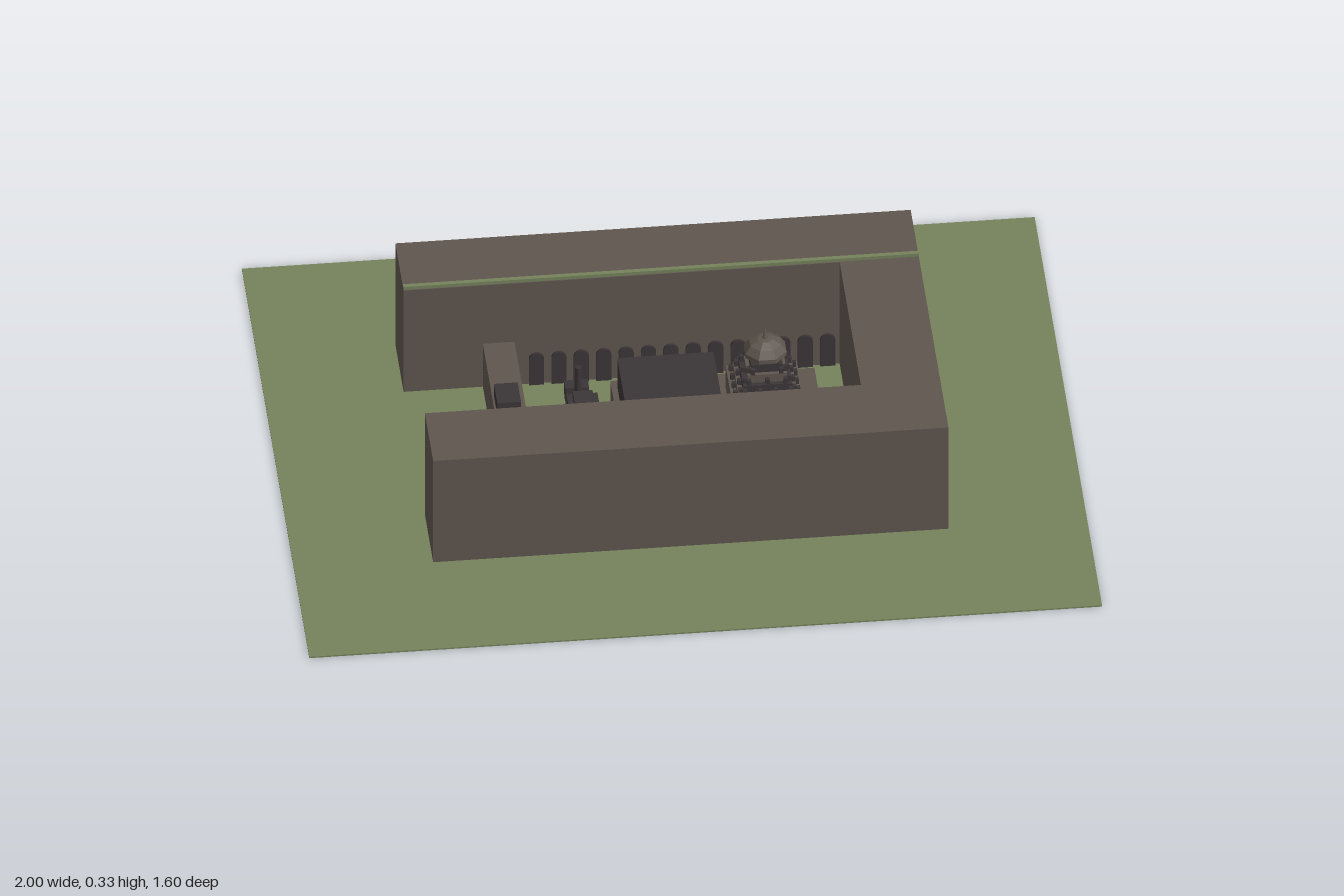
import * as THREE from 'three';

export function createModel() {
  const model = new THREE.Group();
  model.name = 'rockCutTemple';
  const mat = (name, color) => {
    const m = new THREE.MeshStandardMaterial({ color });
    m.name = name;
    return m;
  };
  const grass = mat('grass', 0x74825b);
  const rock = mat('rock', 0x5f564e);
  const dark = mat('darkStone', 0x3b3537);

  const add = (name, geo, m, x, y, z, parent = model) => {
    const mesh = new THREE.Mesh(geo, m);
    mesh.name = name;
    mesh.position.set(x, y, z);
    parent.add(mesh);
    return mesh;
  };
  // Box given by its ranges along each axis
  const box = (name, m, x0, x1, y0, y1, z0, z1, parent = model) =>
    add(name, new THREE.BoxGeometry(x1 - x0, y1 - y0, z1 - z0), m,
      (x0 + x1) / 2, (y0 + y1) / 2, (z0 + z1) / 2, parent);
  const flat = (geo) => {
    const g = geo.toNonIndexed();
    g.computeVertexNormals();
    return g;
  };
  const group = (name) => {
    const g = new THREE.Group();
    g.name = name;
    model.add(g);
    return g;
  };

  // Ground and the cliff walls around the court
  box('ground', grass, -1, 1, 0, 0.004, -0.8, 0.8);
  const H = 0.325;
  box('frontCliff', rock, -0.65, 0.65, 0.004, H, 0.25, 0.447);
  box('backCliff', rock, -0.65, 0.65, 0.004, H, -0.45, -0.255);
  box('endCliff', rock, 0.45, 0.65, 0.004, H, -0.255, 0.25);
  box('grassRim', grass, -0.65, 0.65, H, 0.334, -0.27, -0.258);

  // Gateway across the open end
  box('gateway', rock, -0.45, -0.37, 0.004, 0.14, -0.255, 0.25);
  box('gateUpperStorey', dark, -0.445, -0.385, 0.14, 0.178, -0.04, 0.04);
  box('gateDoor', dark, -0.458, -0.45, 0.004, 0.09, -0.025, 0.025);

  // Arched niches along both long walls
  const arch = new THREE.Shape();
  arch.moveTo(-0.019, 0);
  arch.lineTo(0.019, 0);
  arch.lineTo(0.019, 0.08);
  arch.absarc(0, 0.08, 0.019, 0, Math.PI, false);
  arch.lineTo(-0.019, 0);
  const archGeo = new THREE.ExtrudeGeometry(arch, { depth: 0.007, bevelEnabled: false, curveSegments: 8 });
  const niches = group('galleryNiches');
  for (let i = 0; i < 14; i++) {
    const x = -0.315 + i * 0.0565;
    add('frontNiche', archGeo, dark, x, 0.004, 0.243, niches);
    add('backNiche', archGeo, dark, x, 0.004, -0.255, niches);
  }

  // Temple plinth with a carved row along each side
  const P = 0.08;
  box('plinth', rock, -0.14, 0.375, 0.004, P, -0.147, 0.147);
  const frieze = group('plinthFrieze');
  for (let i = 0; i < 15; i++) {
    const x = -0.118 + i * 0.0335;
    for (const s of [-1, 1]) {
      add('friezeCarving', new THREE.BoxGeometry(0.024, 0.045, 0.012), dark, x, 0.032, s * 0.152, frieze);
    }
  }

  // Assembly hall
  box('hall', dark, -0.125, 0.118, P, 0.17, -0.123, 0.123);

  // Stepped tower with small shrines on each ledge
  const tower = group('tower');
  tower.position.set(0.235, 0, 0);
  const add4 = (name, w, y0, y1, m) => box(name, m, -w, w, y0, y1, -w, w, tower);
  add4('towerBase', 0.09, P, 0.15, rock);
  const tiers = [0.074, 0.062, 0.05, 0.04];
  tiers.forEach((w, i) => {
    const y = 0.15 + i * 0.024;
    add4('towerTier', w, y, y + 0.024, i % 2 ? dark : rock);
    const n = 5 - i;
    for (let k = 0; k < n; k++) {
      const t = n > 1 ? (k / (n - 1) * 2 - 1) * (w - 0.004) : 0;
      for (const s of [-1, 1]) {
        const shrine = new THREE.BoxGeometry(0.011, 0.015, 0.011);
        add('tierShrine', shrine, dark, t, y + 0.0075, s * (w + 0.005), tower);
        add('tierShrine', shrine, dark, s * (w + 0.005), y + 0.0075, t, tower);
      }
    }
  });
  const dome = [[0, 0.246], [0.04, 0.246], [0.056, 0.256], [0.056, 0.268], [0.042, 0.287], [0.02, 0.299], [0, 0.302]];
  add('towerDome', flat(new THREE.LatheGeometry(dome.map(p => new THREE.Vector2(...p)), 8, Math.PI / 8)), rock, 0, 0, 0, tower);
  add('finial', new THREE.ConeGeometry(0.008, 0.034, 8), rock, 0, 0.315, 0, tower);

  // Pavilion in front of the hall, with its bridge
  box('pavilionBase', dark, -0.268, -0.178, 0.004, 0.08, -0.045, 0.045);
  box('pavilionBody', rock, -0.258, -0.188, 0.08, 0.115, -0.035, 0.035);
  box('pavilionRoof', dark, -0.262, -0.184, 0.115, 0.13, -0.039, 0.039);
  box('pavilionCap', dark, -0.248, -0.198, 0.13, 0.15, -0.025, 0.025);
  box('bridge', dark, -0.178, -0.14, 0.07, 0.08, -0.005, 0.005);

  // Free-standing pillars and elephants on both sides
  for (const s of [-1, 1]) {
    const side = group(s > 0 ? 'frontCourtFigures' : 'backCourtFigures');
    add('pillar', new THREE.CylinderGeometry(0.008, 0.01, 0.14, 8), dark, -0.223, 0.074, s * 0.13, side);
    box('elephantBody', dark, -0.253, -0.193, 0.025, 0.06, s * 0.17 - 0.017, s * 0.17 + 0.017, side);
    for (const x of [-0.245, -0.201]) {
      for (const z of [-0.01, 0.01]) {
        add('elephantLeg', new THREE.BoxGeometry(0.012, 0.022, 0.012), dark, x, 0.015, s * 0.17 + z, side);
      }
    }
  }
  return model;
}
